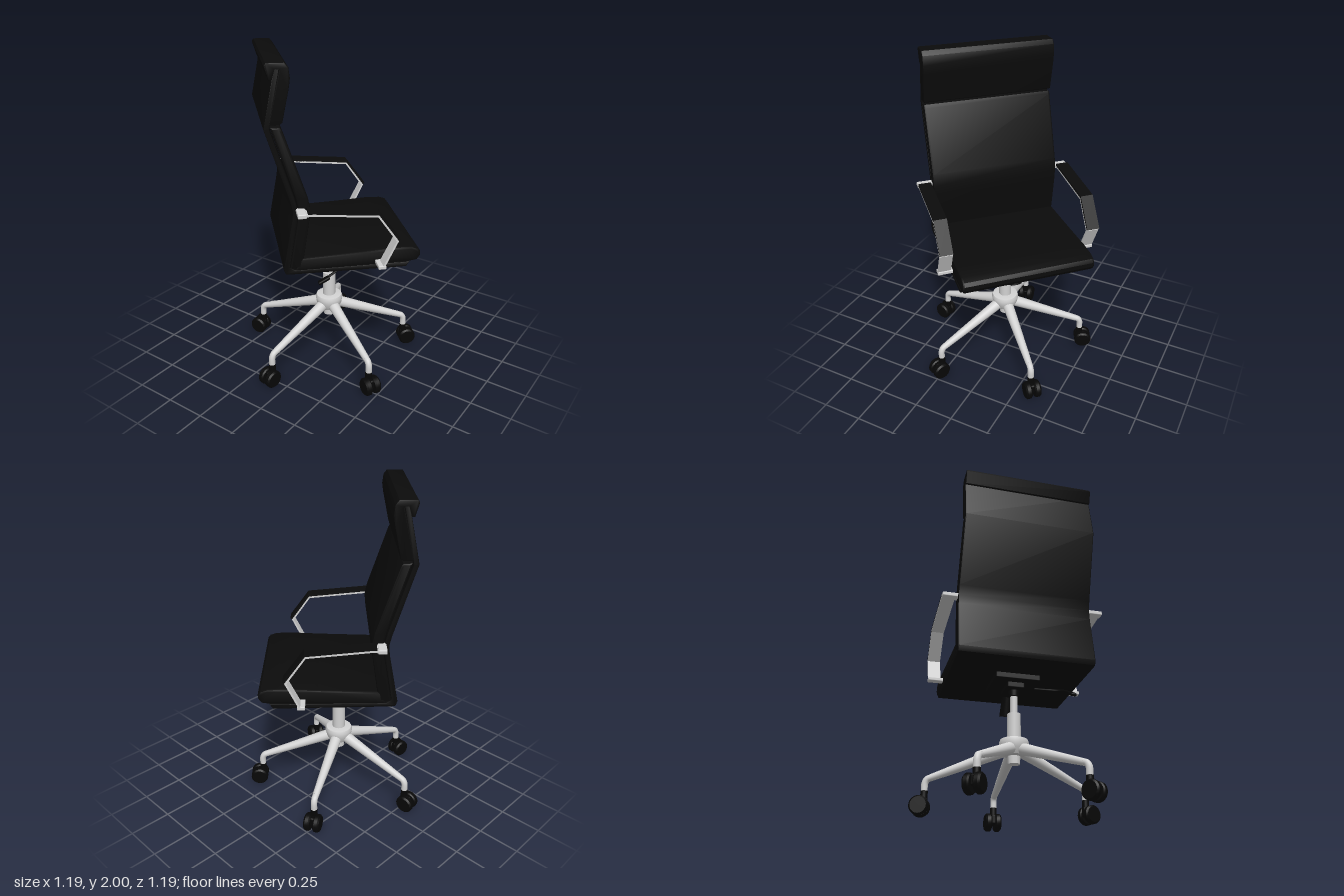
import * as THREE from 'three';
import { toCreasedNormals } from 'three/addons/utils/BufferGeometryUtils.js';
import { RoundedBoxGeometry } from 'three/addons/geometries/RoundedBoxGeometry.js';

export function createModel() {
  const leather = new THREE.MeshStandardMaterial({ color: 0x0b0b0b });
  leather.name = 'black leather';
  const plastic = new THREE.MeshStandardMaterial({ color: 0x070707 });
  plastic.name = 'black plastic';
  const metal = new THREE.MeshStandardMaterial({ color: 0xd2d2d2 });
  metal.name = 'brushed metal';

  const model = new THREE.Group();
  model.name = 'officeChair';
  const chair = new THREE.Group();
  chair.name = 'chair';
  chair.rotation.y = Math.PI * 0.75; // the chair stands turned on its base
  model.add(chair);

  const add = (name, geometry, material, parent = chair, x = 0, y = 0, z = 0) => {
    const mesh = new THREE.Mesh(geometry, material);
    mesh.name = name;
    mesh.position.set(x, y, z);
    parent.add(mesh);
    return mesh;
  };

  // Side profile of [z, y] points, extruded across the chair's width
  const slab = (points, width, bevel) => {
    const shape = new THREE.Shape(points.map(([z, y]) => new THREE.Vector2(z, y)));
    const geometry = new THREE.ExtrudeGeometry(shape, {
      depth: width - 2 * bevel, bevelEnabled: bevel > 0, bevelSize: bevel,
      bevelThickness: bevel, bevelOffset: -bevel, bevelSegments: 2,
    });
    geometry.translate(0, 0, bevel - width / 2);
    geometry.rotateY(-Math.PI / 2);
    return toCreasedNormals(geometry, 0.6);
  };

  // Round rod between two points
  const rod = (a, b, r1, r2, sides = 20) => {
    const from = new THREE.Vector3(...a), to = new THREE.Vector3(...b);
    const dir = to.clone().sub(from);
    const geometry = new THREE.CylinderGeometry(r2, r1, dir.length(), sides);
    geometry.applyQuaternion(new THREE.Quaternion().setFromUnitVectors(
      new THREE.Vector3(0, 1, 0), dir.clone().normalize()));
    const mid = from.add(to).multiplyScalar(0.5);
    return geometry.translate(mid.x, mid.y, mid.z);
  };

  // Shell: one thin sheet running under the seat and up the back
  add('shell', slab([
    [0.36, 0.795], [0.38, 0.825], [-0.29, 0.83], [-0.32, 0.85], [-0.272, 1.13], [-0.268, 1.2],
    [-0.285, 1.27], [-0.408, 1.66], [-0.345, 1.97], [-0.375, 1.97], [-0.438, 1.66],
    [-0.31, 1.25], [-0.296, 1.19], [-0.302, 1.13], [-0.355, 0.84], [-0.345, 0.81], [-0.32, 0.805],
  ], 0.8, 0.005), leather);

  // Cushions
  add('backCushion', slab([
    [-0.32, 0.84], [-0.25, 0.84], [-0.235, 0.92], [-0.204, 1.13], [-0.198, 1.2], [-0.212, 1.27],
    [-0.34, 1.65], [-0.352, 1.668], [-0.405, 1.668], [-0.28, 1.27], [-0.266, 1.2], [-0.272, 1.13],
  ], 0.8, 0.012), leather);
  add('headrest', slab([
    [-0.412, 1.68], [-0.355, 1.68], [-0.338, 1.69], [-0.3, 1.87], [-0.293, 1.92], [-0.3, 1.975],
    [-0.32, 2], [-0.415, 2], [-0.424, 1.985], [-0.402, 1.91], [-0.385, 1.91], [-0.365, 1.96],
    [-0.348, 1.96],
  ], 0.8, 0.006), leather);
  add('seatCushion', slab([
    [-0.29, 0.825], [0.38, 0.825], [0.425, 0.832], [0.445, 0.86], [0.445, 0.885], [0.43, 0.905],
    [0.39, 0.918], [0.3, 0.922], [0.1, 0.912], [-0.26, 0.9],
  ], 0.8, 0.012), leather);

  // Armrests: a bent metal strap with a pad on its upper two runs
  const armPath = [[-0.27, 1.195], [-0.2, 1.2], [0.165, 1.165], [0.278, 1.005], [0.2, 0.845]];
  const strip = (path, low, high) => {
    const side = (offset) => path.map(([z, y], i) => {
      const p = path[Math.max(i - 1, 0)], n = path[Math.min(i + 1, path.length - 1)];
      const dz = n[0] - p[0], dy = n[1] - p[1], len = Math.hypot(dz, dy);
      return [z - dy / len * offset, y + dz / len * offset];
    });
    return slab([...side(low), ...side(high).reverse()], 0.078, 0);
  };
  for (const s of [1, -1]) {
    const arm = new THREE.Group();
    arm.name = s > 0 ? 'leftArmrest' : 'rightArmrest';
    chair.add(arm);
    add('armStrap', strip(armPath, -0.006, 0.006), metal, arm, s * 0.45);
    add('armPad', strip([[-0.225, 1.199], ...armPath.slice(2, 4)], 0.0065, 0.02), leather, arm, s * 0.45);
    add('upperBracket', new RoundedBoxGeometry(0.11, 0.026, 0.05, 2, 0.006), metal, arm, s * 0.435, 1.195, -0.255);
    add('lowerBracket', new RoundedBoxGeometry(0.11, 0.022, 0.045, 2, 0.005), metal, arm, s * 0.435, 0.846, 0.195);
  }

  // Tilt mechanism under the seat
  add('mountPlate', new RoundedBoxGeometry(0.27, 0.04, 0.27, 2, 0.008), plastic, chair, 0, 0.787, 0);
  add('mechanismBox', new RoundedBoxGeometry(0.11, 0.05, 0.17, 2, 0.012), plastic, chair, 0, 0.755, 0);
  add('columnCollar', new THREE.CylinderGeometry(0.036, 0.032, 0.05, 24), plastic, chair, 0, 0.72, -0.025);
  add('tensionKnob', rod([0, 0.76, 0.125], [0, 0.637, 0.168], 0.034, 0.042), plastic);
  const leverPath = new THREE.CatmullRomCurve3([
    [-0.1, 0.782, 0.03], [-0.27, 0.78, 0.015], [-0.315, 0.765, -0.03], [-0.33, 0.735, -0.085],
  ].map((p) => new THREE.Vector3(...p)));
  add('lever', new THREE.TubeGeometry(leverPath, 20, 0.007, 8), plastic);
  const paddle = add('leverPaddle', new RoundedBoxGeometry(0.035, 0.02, 0.075, 2, 0.008), plastic, chair, -0.335, 0.715, -0.115);
  paddle.rotation.x = -0.5;

  // Swivel base
  const base = new THREE.Group();
  base.name = 'base';
  base.position.z = -0.025;
  chair.add(base);
  add('gasLift', new THREE.CylinderGeometry(0.022, 0.022, 0.16, 24), metal, base, 0, 0.64, 0);
  add('column', new THREE.CylinderGeometry(0.04, 0.04, 0.18, 28), metal, base, 0, 0.497, 0);
  const hub = [[0, 0.285], [0.035, 0.285], [0.037, 0.33], [0.06, 0.335], [0.08, 0.37],
    [0.087, 0.41], [0.08, 0.428], [0.06, 0.432], [0, 0.432]];
  add('hub', toCreasedNormals(new THREE.LatheGeometry(
    hub.map(([r, y]) => new THREE.Vector2(r, y)), 32), 0.6), metal, base);

  // Five legs with twin-wheel casters
  for (let i = 0; i < 5; i++) {
    const leg = new THREE.Group();
    leg.name = 'leg' + (i + 1);
    leg.rotation.y = i * Math.PI * 0.4;
    base.add(leg);
    add('legArm', rod([0, 0.372, 0.04], [0, 0.215, 0.475], 0.036, 0.02), metal, leg);
    const bend = new THREE.CatmullRomCurve3([
      [0, 0.216, 0.472], [0, 0.207, 0.493], [0, 0.187, 0.505], [0, 0.135, 0.507],
    ].map((p) => new THREE.Vector3(...p)));
    add('legBend', new THREE.TubeGeometry(bend, 14, 0.0195, 16), metal, leg);
    add('casterStem', rod([0, 0.14, 0.507], [0, 0.06, 0.507], 0.021, 0.021), plastic, leg);
    add('casterBody', new RoundedBoxGeometry(0.03, 0.06, 0.07, 2, 0.01), plastic, leg, 0, 0.07, 0.52);
    for (const s of [1, -1]) {
      const profile = [[0, -0.019], [0.048, -0.019], [0.055, -0.011], [0.055, 0.01], [0.046, 0.02], [0, 0.02]];
      const wheel = add('wheel', toCreasedNormals(new THREE.LatheGeometry(
        profile.map(([r, y]) => new THREE.Vector2(r, y)), 28), 0.5), plastic, leg, s * 0.029, 0.055, 0.53);
      wheel.rotation.z = -s * Math.PI / 2;
    }
  }
  return model;
}
